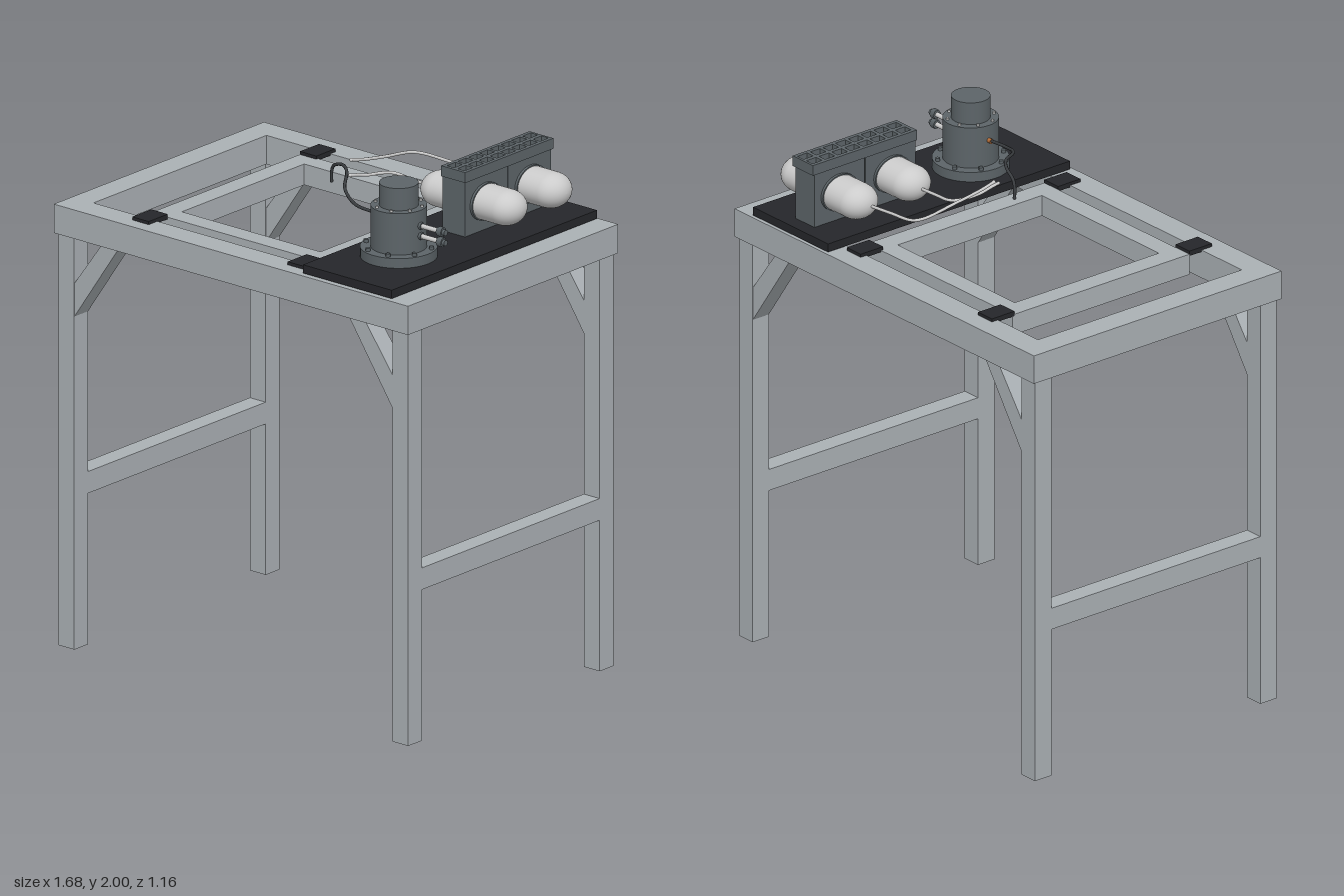
import * as THREE from 'three';

const mat = (color) => new THREE.MeshStandardMaterial({ color });

export function createModel() {
  const root = new THREE.Group();
  root.name = 'pumpTable';
  const steel = mat(0xaab0b4), black = mat(0x25262a), slate = mat(0x5c6468);
  const light = mat(0xcccccc), hoseDark = mat(0x3a3d40), copper = mat(0xb8703a);

  const add = (name, geo, material, x = 0, y = 0, z = 0, parent = root) => {
    const m = new THREE.Mesh(geo, material);
    m.name = name;
    m.position.set(x, y, z);
    parent.add(m);
    return m;
  };
  // box from its limits on each axis
  const box = (name, material, x0, x1, y0, y1, z0, z1) =>
    add(name, new THREE.BoxGeometry(x1 - x0, y1 - y0, z1 - z0), material,
      (x0 + x1) / 2, (y0 + y1) / 2, (z0 + z1) / 2);
  const rect = (P, x0, x1, z0, z1) => new P([
    new THREE.Vector2(x0, -z0), new THREE.Vector2(x0, -z1),
    new THREE.Vector2(x1, -z1), new THREE.Vector2(x1, -z0)]);
  // horizontal slab with rectangular openings, limits as [x0, x1, z0, z1]
  const slab = (name, material, outer, holes, y0, y1) => {
    const shape = rect(THREE.Shape, ...outer);
    holes.forEach((h) => shape.holes.push(rect(THREE.Path, ...h)));
    const geo = new THREE.ExtrudeGeometry(shape, { depth: y1 - y0, bevelEnabled: false });
    return add(name, geo.rotateX(-Math.PI / 2), material, 0, y0, 0);
  };

  // Table top frame and the inner frame hung inside it
  slab('topFrame', steel, [-0.84, 0.84, -0.58, 0.58], [[-0.74, 0.74, -0.477, 0.477]], 1.575, 1.685);
  slab('innerFrame', steel, [-0.515, 0.3, -0.41, 0.42], [[-0.437, 0.22, -0.333, 0.342]], 1.605, 1.685);
  for (const x of [-0.515, 0.222]) {
    box('frontTab', black, x, x + 0.078, 1.678, 1.697, 0.42, 0.525);
    box('backTab', black, x, x + 0.078, 1.678, 1.697, -0.505, -0.4);
  }

  // Legs, corner braces and side rails
  const brace = new THREE.Shape([[0.757, 1.268], [0.757, 1.395], [0.625, 1.575], [0.547, 1.575]]
    .map(([x, y]) => new THREE.Vector2(x, y)));
  const braceGeo = new THREE.ExtrudeGeometry(brace, { depth: 0.075, bevelEnabled: false });
  braceGeo.translate(0, 0, -0.0375);
  for (const sx of [-1, 1]) {
    for (const sz of [-1, 1]) {
      add('leg', new THREE.BoxGeometry(0.075, 1.575, 0.077), steel, sx * 0.792, 0.7875, sz * 0.528);
      const b = add('cornerBrace', braceGeo, steel, 0, 0, sz * 0.528);
      if (sx < 0) b.rotation.y = Math.PI;
    }
    add('sideRail', new THREE.BoxGeometry(0.075, 0.083, 0.98), steel, sx * 0.792, 0.618, 0);
  }

  // Base plate carrying the machinery
  box('basePlate', black, 0.327, 0.748, 1.688, 1.72, -0.57, 0.563);

  // Pump: flange, body and head in stacked drums
  const pump = new THREE.Group();
  pump.name = 'pump';
  pump.position.set(0.523, 0, 0.262);
  root.add(pump);
  const drum = (name, r, y0, y1) =>
    add(name, new THREE.CylinderGeometry(r, r, y1 - y0, 48), slate, 0, (y0 + y1) / 2, 0, pump);
  drum('pumpFlange', 0.14, 1.72, 1.757);
  drum('pumpBody', 0.102, 1.757, 1.915);
  drum('pumpHead', 0.071, 1.915, 2.0);
  for (let i = 0; i < 8; i++) {
    const a = (i + 0.5) * Math.PI / 4, c = Math.cos(a), s = Math.sin(a);
    add('flangeBolt', new THREE.CylinderGeometry(0.009, 0.009, 0.012, 6), slate, c * 0.124, 1.763, s * 0.124, pump);
    add('bodyBolt', new THREE.CylinderGeometry(0.006, 0.006, 0.008, 6), light, c * 0.088, 1.918, s * 0.088, pump);
  }
  // Side ports on the pump
  const rod = (name, material, r, x0, x1, y, z, sides = 16) =>
    add(name, new THREE.CylinderGeometry(r, r, x1 - x0, sides).rotateZ(Math.PI / 2),
      material, (x0 + x1) / 2, y, z);
  for (const y of [1.857, 1.818]) {
    rod('portPipe', light, 0.009, 0.6, 0.72, y, 0.262);
    rod('portCollar', slate, 0.014, 0.615, 0.635, y, 0.262, 6);
    rod('portNut', slate, 0.018, 0.712, 0.735, y, 0.262, 6);
    rod('portTip', slate, 0.011, 0.735, 0.746, y, 0.262);
  }
  rod('hoseFitting', copper, 0.009, 0.405, 0.425, 1.857, 0.262, 12);

  // Tanks with slightly flattened section and domed ends
  const half = 0.228, dome = 0.075, profile = [];
  for (let i = 0; i <= 12; i++) {
    const a = -Math.PI / 2 + i * Math.PI / 24;
    profile.push(new THREE.Vector2(0.079 * Math.cos(a), -half + dome + dome * Math.sin(a)));
  }
  for (let i = 0; i <= 12; i++) {
    const a = i * Math.PI / 24;
    profile.push(new THREE.Vector2(0.079 * Math.cos(a), half - dome + dome * Math.sin(a)));
  }
  const tankGeo = new THREE.LatheGeometry(profile, 40).rotateZ(-Math.PI / 2).scale(1, 0.84, 1);
  for (const z of [-0.153, -0.4]) {
    add('tank', tankGeo, light, 0.523, 1.828, z);
    const seat = add('tankCollar', new THREE.CylinderGeometry(0.084, 0.084, 0.126, 40).rotateZ(Math.PI / 2),
      slate, 0.523, 1.828, z);
    seat.scale.y = 0.84;
  }

  // Clamp housing around the tanks, with a slotted lid
  box('clampBlockFront', slate, 0.47, 0.576, 1.72, 1.93, -0.275, -0.042);
  box('clampBlockBack', slate, 0.47, 0.576, 1.72, 1.93, -0.515, -0.279);
  const slots = [];
  for (let i = 0; i < 8; i++) {
    const z = -0.515 + i * 0.0595;
    slots.push([0.481, 0.515, z, z + 0.046], [0.531, 0.565, z, z + 0.046]);
  }
  slab('slottedLid', slate, [0.466, 0.58, -0.525, -0.038], slots, 1.928, 1.968);

  // Hoses
  const hose = (name, material, r, pts) => {
    const curve = new THREE.CatmullRomCurve3(pts.map((p) => new THREE.Vector3(...p)), false, 'centripetal');
    add(name, new THREE.TubeGeometry(curve, 64, r, 8), material);
    const end = curve.getPoint(1);
    add(name + 'End', new THREE.SphereGeometry(r * 1.15, 10, 8), material, end.x, end.y, end.z);
  };
  hose('pumpHose', hoseDark, 0.006, [[0.43, 1.857, 0.262], [0.318, 1.865, 0.26], [0.227, 1.89, 0.214],
    [0.15, 1.913, 0.115], [0.09, 1.914, 0.07], [0.035, 1.893, 0.054], [0.022, 1.865, 0.05], [0.02, 1.83, 0.047]]);
  hose('backTankHose', light, 0.006, [[0.31, 1.826, -0.39], [0.2, 1.832, -0.383], [0.09, 1.838, -0.372],
    [0.064, 1.845, -0.34], [0.06, 1.865, -0.2], [0.056, 1.885, -0.08], [0.055, 1.9, -0.02]]);
  hose('frontTankHose', light, 0.006, [[0.31, 1.826, -0.153], [0.22, 1.83, -0.153], [0.145, 1.835, -0.152],
    [0.118, 1.838, -0.12], [0.103, 1.845, -0.05], [0.098, 1.858, 0], [0.097, 1.865, 0.035]]);

  return root;
}
